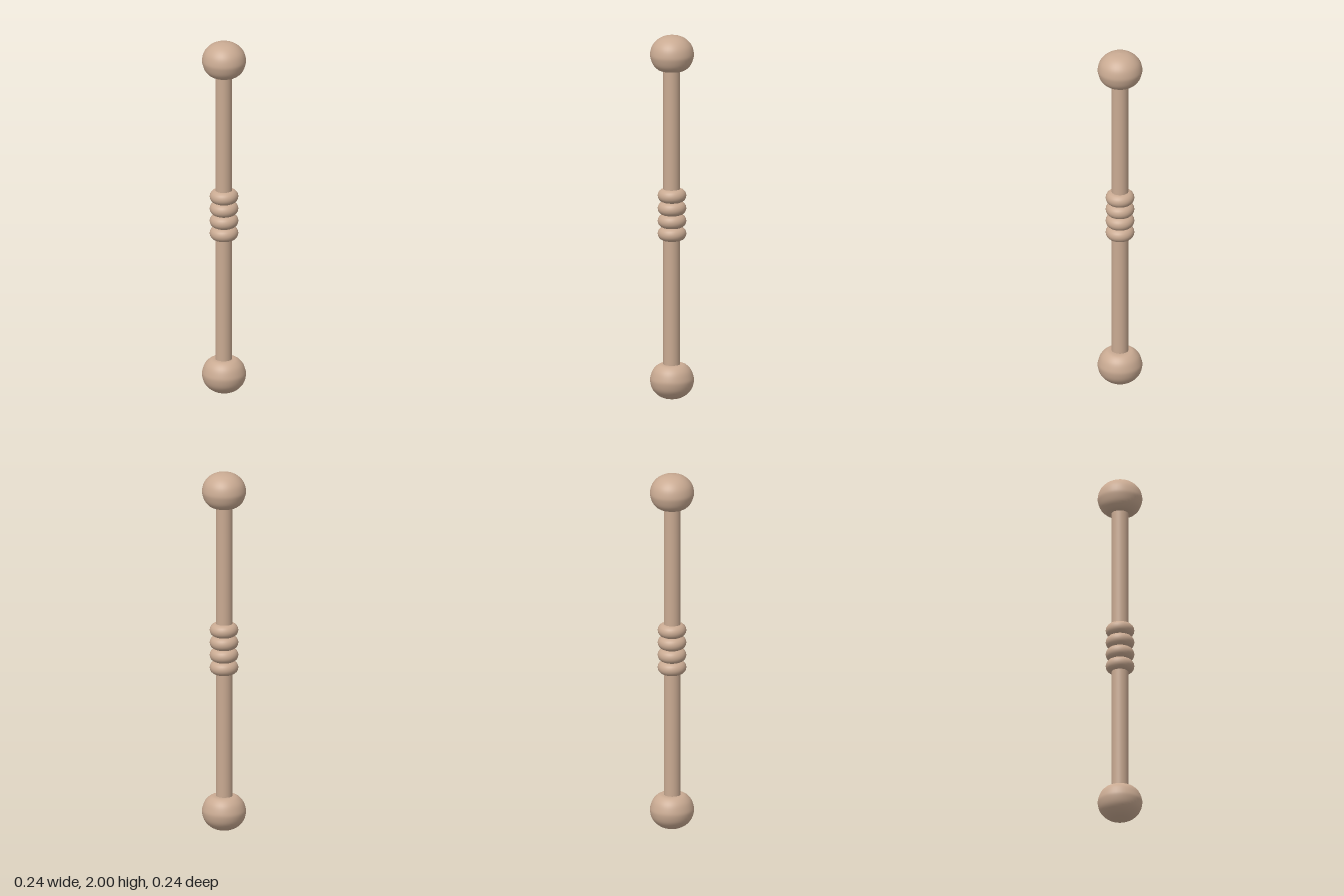
import * as THREE from 'three';

export function createModel() {
  const model = new THREE.Group();
  const wood = new THREE.MeshStandardMaterial({ color: 0xc9aa92 });
  wood.name = 'paleWood';

  const add = (name, geometry, y) => {
    const mesh = new THREE.Mesh(geometry, wood);
    mesh.name = name;
    mesh.position.y = y;
    model.add(mesh);
    return mesh;
  };

  // Straight round shaft running between the knobs
  add('shaft', new THREE.CylinderGeometry(0.045, 0.045, 1.66, 32), 1).position.x = -0.002;

  // Domed knob with a flattened inner face, profiled from inner face to tip
  const profile = new THREE.SplineCurve([
    [0.035, -0.087], [0.07, -0.085], [0.1, -0.058], [0.115, -0.02], [0.117, 0.008],
    [0.106, 0.046], [0.08, 0.077], [0.045, 0.096], [0, 0.103],
  ].map(([r, y]) => new THREE.Vector2(r, y))).getPoints(32);
  profile[profile.length - 1].x = 0;
  const knob = new THREE.LatheGeometry(profile, 40);
  knob.scale(1, 1, 1.02);
  add('topKnob', knob, 1.897);
  add('bottomKnob', knob, 0.104).rotation.x = Math.PI;

  // Four stacked grip rings around the middle
  const ring = new THREE.TorusGeometry(0.041, 0.036, 20, 40);
  ring.rotateX(Math.PI / 2);
  for (let i = 0; i < 4; i++) add('gripRing' + (i + 1), ring, 0.91 + i * 0.07);

  return model;
}
